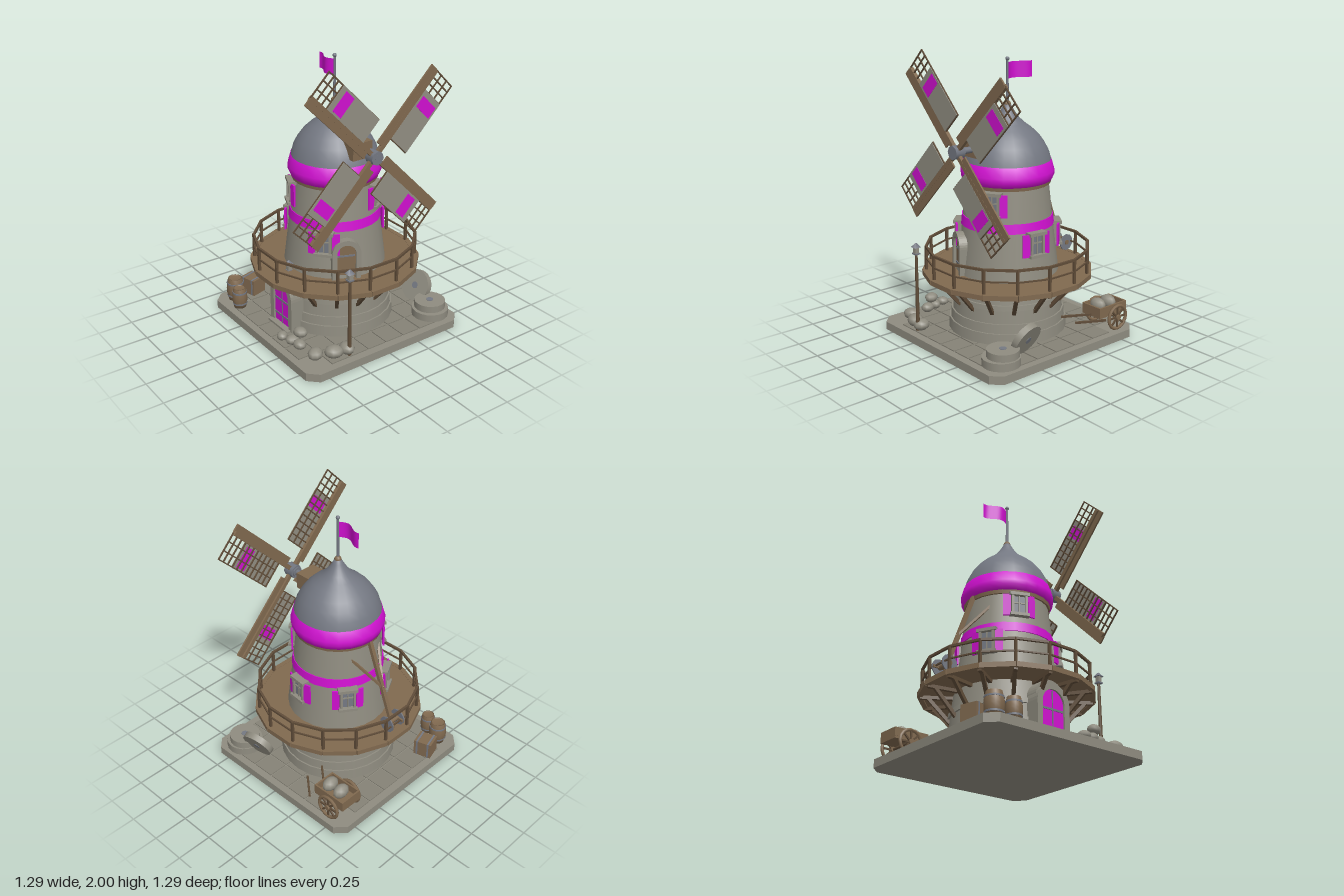
import * as THREE from 'three';

const mat = (name, color) => Object.assign(new THREE.MeshStandardMaterial({ color }), { name });
const stone = mat('stone', 0x8f8c80), paving = mat('paving', 0x858276), wood = mat('wood', 0x80694f);
const darkWood = mat('dark wood', 0x604d39), slate = mat('slate', 0x747882), canvas = mat('canvas', 0x918e82);
const paint = mat('magenta paint', 0xd010d0), flagCloth = mat('magenta flag', 0xd010d0);
flagCloth.side = THREE.DoubleSide;

const V = (x, y, z) => new THREE.Vector3(x, y, z);
function add(parent, name, geo, material, x = 0, y = 0, z = 0) {
  const m = new THREE.Mesh(geo, material);
  m.name = name;
  m.position.set(x, y, z);
  parent.add(m);
  return m;
}
function group(parent, name, x = 0, y = 0, z = 0, ry = 0) {
  const g = new THREE.Group();
  g.name = name;
  g.position.set(x, y, z);
  g.rotation.y = ry;
  parent.add(g);
  return g;
}
const box = (p, n, m, w, h, d, x, y, z) => add(p, n, new THREE.BoxGeometry(w, h, d), m, x, y, z);
const cyl = (p, n, m, rt, rb, h, x, y, z, s = 20) => add(p, n, new THREE.CylinderGeometry(rt, rb, h, s), m, x, y, z);
// square beam between two points
function beam(p, n, m, a, b, t) {
  const o = box(p, n, m, t, t, a.distanceTo(b), 0, 0, 0);
  o.position.copy(a).add(b).multiplyScalar(0.5);
  o.lookAt(b);
  return o;
}
// group on the tower wall at an azimuth from +z, its local z pointing outwards
const onWall = (p, n, deg, r, y) => {
  const a = THREE.MathUtils.degToRad(deg);
  return group(p, n, r * Math.sin(a), y, r * Math.cos(a), a);
};
const extrude = (s, depth) => new THREE.ExtrudeGeometry(s, { depth, bevelEnabled: false, curveSegments: 10 });
function arch(w, h) {
  const s = new THREE.Shape();
  s.moveTo(-w, 0); s.lineTo(w, 0); s.lineTo(w, h - w);
  s.absarc(0, h - w, w, 0, Math.PI, false);
  return s;
}
function archFrame(w, h, t) {
  const s = new THREE.Shape();
  s.moveTo(w, 0); s.lineTo(w + t, 0); s.lineTo(w + t, h - w);
  s.absarc(0, h - w, w + t, 0, Math.PI, false);
  s.lineTo(-w - t, 0); s.lineTo(-w, 0); s.lineTo(-w, h - w);
  s.absarc(0, h - w, w, Math.PI, 0, true);
  return s;
}

function base(p) {
  const o = 0.645, c = 0.07, s = new THREE.Shape();
  [[-o, c - o], [c - o, -o], [o - c, -o], [o, c - o], [o, o - c], [o - c, o], [c - o, o], [-o, o - c]]
    .forEach(([x, y], i) => i ? s.lineTo(x, y) : s.moveTo(x, y));
  add(p, 'base', extrude(s, 0.058), stone, 0, 0, 0).rotation.x = -Math.PI / 2;
  // paving slabs in staggered rows
  for (let r = 0; r < 8; r++) for (let i = 0; i < 7; i++) {
    const z = -0.525 + r * 0.15, x = -0.51 + i * 0.17;
    if (Math.hypot(x, z) > 0.3 && Math.hypot(x, z) < 0.73) box(p, 'pavingSlab', paving, 0.16, 0.012, 0.14, x, 0.059, z);
  }
}

function tower(p) {
  // plinth courses, wall, painted band and eaves ring: [bottom y, bottom r, top y, top r, material]
  [[0.06, 0.415, 0.14, 0.41, stone], [0.14, 0.4, 0.205, 0.395, stone], [0.205, 0.385, 0.3, 0.378, stone],
    [0.3, 0.392, 0.335, 0.388, stone], [0.335, 0.374, 0.82, 0.314, stone], [0.815, 0.322, 0.88, 0.314, paint],
    [0.88, 0.308, 1.13, 0.28, stone], [1.1, 0.296, 1.13, 0.3, wood]]
    .forEach(([y0, r0, y1, r1, m]) => cyl(p, m === paint ? 'towerBand' : m === wood ? 'eavesRing' : 'towerWall', m, r1, r0, y1 - y0, 0, (y0 + y1) / 2, 0, 24));
  const lathe = pts => new THREE.LatheGeometry(pts.map(q => new THREE.Vector2(...q)), 24);
  add(p, 'roofBand', lathe([[0.28, 1.125], [0.305, 1.125], [0.32, 1.16], [0.321, 1.19], [0.301, 1.26], [0.28, 1.262]]), paint);
  add(p, 'domeRoof', lathe([[0.298, 1.26], [0.283, 1.315], [0.255, 1.37], [0.215, 1.425], [0.165, 1.472], [0.12, 1.505],
    [0.082, 1.54], [0.056, 1.575], [0.038, 1.605], [0.022, 1.635], [0, 1.64]]), slate);
  add(p, 'roofKnob', new THREE.SphereGeometry(0.025, 10, 8), wood, 0, 1.632, 0);
  cyl(p, 'flagPole', slate, 0.008, 0.01, 0.29, 0, 1.78, 0, 8);
  add(p, 'poleBall', new THREE.SphereGeometry(0.014, 10, 8), slate, 0, 1.936, 0);
  // waving flag
  const flag = new THREE.PlaneGeometry(0.19, 0.11, 12, 1), a = flag.attributes.position;
  for (let i = 0; i < a.count; i++) {
    const t = (0.095 - a.getX(i)) / 0.19;
    a.setZ(i, 0.024 * Math.sin(t * 5.2));
  }
  flag.computeVertexNormals();
  add(p, 'flag', flag, flagCloth, -0.105, 1.855, 0);
}

function windowAt(p, deg, r, y) {
  const g = onWall(p, 'window', deg, r, y);
  box(g, 'windowPane', slate, 0.09, 0.13, 0.03, 0, 0, -0.005);
  box(g, 'windowLintel', stone, 0.135, 0.022, 0.06, 0, 0.078, 0.004);
  box(g, 'windowSill', stone, 0.13, 0.02, 0.065, 0, -0.073, 0.008);
  box(g, 'windowMullion', stone, 0.008, 0.13, 0.008, 0, 0, 0.013);
  box(g, 'windowTransom', stone, 0.09, 0.008, 0.008, 0, 0.015, 0.013);
  for (const s of [-1, 1]) {
    box(g, 'windowJamb', stone, 0.016, 0.14, 0.05, s * 0.046, 0, 0.002);
    box(g, 'shutter', paint, 0.052, 0.155, 0.012, s * 0.082, 0, 0.006).rotation.y = s * 0.3;
  }
}

function doors(p) {
  // porch with the painted double door
  const g = group(p, 'frontDoor', 0, 0.06, 0);
  add(g, 'porch', extrude(arch(0.125, 0.4), 0.15), stone, 0, 0, 0.285);
  add(g, 'doorFrame', extrude(archFrame(0.09, 0.33, 0.042), 0.1), stone, 0, 0, 0.36);
  add(g, 'doorLeaf', extrude(arch(0.09, 0.33), 0.012), paint, 0, 0, 0.434);
  box(g, 'keystone', stone, 0.045, 0.06, 0.11, 0, 0.355, 0.365);
  for (const y of [0.08, 0.2]) box(g, 'doorStrap', slate, 0.17, 0.014, 0.006, 0, y, 0.448);
  box(g, 'doorSplit', slate, 0.007, 0.32, 0.006, 0, 0.162, 0.447);
  box(g, 'doorStep', stone, 0.24, 0.02, 0.08, 0, 0.01, 0.45);
  // arched door on to the gallery
  const d = onWall(p, 'galleryDoor', 67, 0.335, 0.48);
  add(d, 'galleryDoorFrame', extrude(archFrame(0.066, 0.255, 0.034), 0.09), stone, 0, 0, -0.055);
  add(d, 'galleryDoorLeaf', extrude(arch(0.066, 0.255), 0.05), wood, 0, 0, -0.035);
  for (const y of [0.06, 0.17]) box(d, 'galleryDoorStrap', slate, 0.12, 0.012, 0.006, 0, y, 0.017);
}

function gallery(p) {
  const n = 16, ring = (r, y, i) => {
    const a = (i + 0.5) / n * Math.PI * 2;
    return V(r * Math.sin(a), y, r * Math.cos(a));
  };
  const deck = cyl(p, 'deck', wood, 0.575, 0.575, 0.022, 0, 0.472, 0, n);
  deck.rotation.y = Math.PI / n;
  for (let i = 0; i < n; i++) {
    beam(p, 'deckRim', wood, ring(0.578, 0.468, i), ring(0.578, 0.468, i + 1), 0.034);
    beam(p, 'topRail', darkWood, ring(0.565, 0.65, i), ring(0.565, 0.65, i + 1), 0.016);
    beam(p, 'middleRail', darkWood, ring(0.565, 0.568, i), ring(0.565, 0.568, i + 1), 0.01);
    beam(p, 'railPost', darkWood, ring(0.565, 0.46, i), ring(0.565, 0.655, i), 0.017);
    beam(p, 'deckJoist', darkWood, ring(0.34, 0.45, i), ring(0.575, 0.45, i), 0.024);
    beam(p, 'deckBrace', darkWood, ring(0.372, 0.275, i), ring(0.525, 0.45, i), 0.024);
  }
}

function sails(p) {
  box(p, 'shaftHousing', wood, 0.16, 0.115, 0.155, 0.232, 1.368, 0);
  const axle = (n, m, r, len, x, s) => cyl(p, n, m, r, r, len, x, 1.365, 0, s).rotation.z = Math.PI / 2;
  axle('windShaft', slate, 0.022, 0.2, 0.37, 10);
  axle('shaftCollar', slate, 0.036, 0.022, 0.395, 8);
  axle('hub', slate, 0.048, 0.075, 0.432, 8);
  for (let k = 0; k < 4; k++) {
    const g = group(p, 'sail', 0.438, 1.365, 0);
    g.rotation.x = Math.PI / 4 + k * Math.PI / 2;
    box(g, 'sailSpar', wood, 0.026, 0.69, 0.03, -0.004, 0.35, 0);
    box(g, 'sailBoard', wood, 0.012, 0.62, 0.055, 0.002, 0.39, 0.033);
    for (const z of [-0.065, -0.13, -0.194]) box(g, 'sailLath', darkWood, 0.008, 0.545, 0.008, 0, 0.427, z);
    for (let i = 0; i < 12; i++) box(g, 'sailBar', darkWood, 0.009, 0.008, 0.198, 0, 0.159 + i * 0.0488, -0.099);
    box(g, 'sailCloth', canvas, 0.005, 0.39, 0.18, 0.008, 0.355, -0.105);
    box(g, 'sailStripe', paint, 0.008, 0.085, 0.15, 0.008, 0.468, -0.105);
  }
}

function tailPole(p) {
  const end = V(-0.5, 0.57, 0);
  beam(p, 'tailPole', wood, V(-0.29, 1.13, 0), end, 0.026);
  for (const s of [-1, 1]) {
    beam(p, 'tailBrace', wood, V(-0.24, 1.03, s * 0.14), V(-0.42, 0.8, 0), 0.016);
    cyl(p, 'winchWheel', slate, 0.06, 0.06, 0.008, -0.515, 0.565, s * 0.055, 10).rotation.x = Math.PI / 2;
    box(p, 'winchSide', wood, 0.11, 0.018, 0.012, -0.515, 0.565, s * 0.044);
  }
  cyl(p, 'winchDrum', wood, 0.018, 0.018, 0.13, -0.515, 0.565, 0, 8).rotation.x = Math.PI / 2;
}

function lantern(p, x, y, z) {
  const g = group(p, 'lantern', x, y, z);
  box(g, 'lanternFoot', slate, 0.04, 0.01, 0.04, 0, 0.005, 0);
  box(g, 'lanternGlass', canvas, 0.03, 0.045, 0.03, 0, 0.03, 0);
  cyl(g, 'lanternRoof', slate, 0.004, 0.036, 0.03, 0, 0.066, 0, 4).rotation.y = Math.PI / 4;
}

function yard(p) {
  // barrels
  for (const [x, z, r, h] of [[-0.52, 0.52, 0.064, 0.168], [-0.4, 0.555, 0.054, 0.15]]) {
    const g = group(p, 'barrel', x, 0.064, z);
    add(g, 'barrelBody', new THREE.LatheGeometry([[0, 0], [0.8, 0], [0.97, 0.3], [1, 0.5], [0.97, 0.7], [0.8, 1], [0.7, 1], [0.7, 0.95], [0, 0.95]]
      .map(([a, b]) => new THREE.Vector2(a * r, b * h)), 12), wood);
    for (const t of [0.22, 0.78]) cyl(g, 'barrelHoop', slate, r * 0.97, r * 0.97, 0.012, 0, h * t, 0, 12);
  }
  // crate
  const c = group(p, 'crate', -0.538, 0.064, 0.36, 0.28);
  box(c, 'crateBox', wood, 0.13, 0.12, 0.12, 0, 0.06, 0);
  for (const x of [-0.042, 0.042]) box(c, 'crateStrap', slate, 0.013, 0.124, 0.124, x, 0.061, 0);
  // boulders
  [[0.54, 0.1, 0.29, 0.06], [0.525, 0.1, 0.385, 0.066], [0.475, 0.1, 0.5, 0.06], [0.32, 0.1, 0.52, 0.05], [0.25, 0.105, 0.53, 0.05],
    [0.16, 0.1, 0.555, 0.045], [0.3, 0.178, 0.5, 0.052]].forEach(([x, y, z, r], i) => {
    const b = add(p, 'boulder', new THREE.SphereGeometry(r, 9, 6), stone, x, y, z);
    b.scale.set(1, 0.68, 0.85);
    b.rotation.y = i * 1.1;
  });
  // millstones, two stacked and one leaning
  cyl(p, 'millstone', stone, 0.13, 0.13, 0.055, 0.475, 0.09, -0.495, 18);
  cyl(p, 'millstone', stone, 0.11, 0.11, 0.05, 0.465, 0.143, -0.5, 18);
  cyl(p, 'millstoneEye', slate, 0.025, 0.025, 0.006, 0.465, 0.168, -0.5, 10);
  const lean = group(p, 'leaningMillstone', 0.29, 0.195, -0.525);
  lean.rotation.set(-Math.PI / 2 - 0.45, 0, 0.15);
  cyl(lean, 'millstone', stone, 0.115, 0.115, 0.045, 0, 0, 0, 18);
  cyl(lean, 'millstoneEye', slate, 0.025, 0.025, 0.05, 0, 0, 0, 10);
  // lamp post and lantern over the door
  cyl(p, 'lampPost', darkWood, 0.01, 0.014, 0.57, 0.57, 0.345, 0.29, 8);
  lantern(p, 0.57, 0.622, 0.29);
  lantern(p, 0, 0.475, 0.385);
}

function cart(p) {
  const g = group(p, 'cart', -0.47, 0.064, -0.495);
  box(g, 'cartBed', wood, 0.26, 0.02, 0.17, 0, 0.12, 0);
  for (const s of [-1, 1]) {
    box(g, 'cartSide', wood, 0.26, 0.06, 0.012, 0, 0.155, s * 0.08);
    box(g, 'cartEnd', wood, 0.012, 0.06, 0.16, s * 0.124, 0.155, 0);
    beam(g, 'cartHandle', darkWood, V(0.1, 0.12, s * 0.07), V(0.31, 0.1, s * 0.07), 0.014);
    const w = group(g, 'cartWheel', -0.02, 0.095, s * 0.108);
    add(w, 'wheelRim', new THREE.TorusGeometry(0.083, 0.012, 6, 16), wood);
    for (let i = 0; i < 4; i++) box(w, 'wheelSpoke', darkWood, 0.165, 0.012, 0.01, 0, 0, 0).rotation.z = i * Math.PI / 4;
    cyl(w, 'wheelHub', wood, 0.02, 0.02, 0.035, 0, 0, 0, 8).rotation.x = Math.PI / 2;
  }
  cyl(g, 'cartAxle', darkWood, 0.01, 0.01, 0.22, -0.02, 0.095, 0, 8).rotation.x = Math.PI / 2;
  for (const x of [-0.035, 0.065]) add(g, 'sack', new THREE.SphereGeometry(0.06, 10, 7), canvas, x, 0.178, 0).scale.set(0.75, 0.8, 1.05);
}

export function createModel() {
  const model = new THREE.Group();
  model.name = 'windmill';
  base(model);
  tower(model);
  for (const deg of [-61, -125, 174, 42]) windowAt(model, deg, 0.336, 0.735);
  for (const deg of [-24, 120]) windowAt(model, deg, 0.298, 1.005);
  for (const part of [doors, gallery, sails, tailPole, yard, cart]) part(model);
  return model;
}
